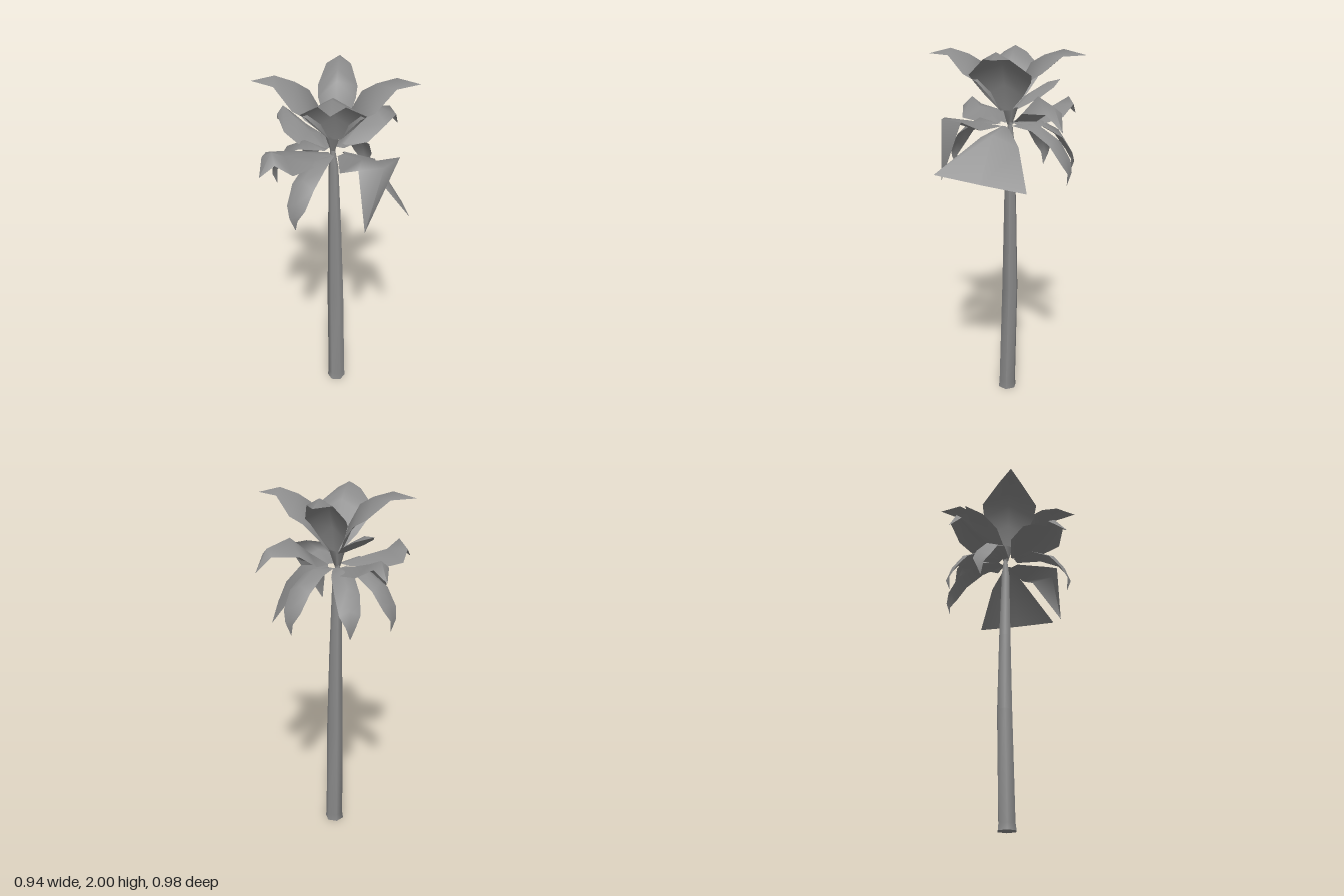
import * as THREE from 'three';

const grey = new THREE.MeshStandardMaterial({ color: 0x8c8c8c, side: THREE.DoubleSide });
grey.name = 'grey';

// Smooth open surface through equal-length rows of [x, y, z] points
function sheet(name, rows) {
  const n = rows[0].length, index = [];
  for (let i = 0; i < rows.length - 1; i++) {
    for (let j = 0; j < n - 1; j++) {
      const a = i * n + j, b = a + 1, c = a + n, d = c + 1;
      index.push(a, c, b, b, c, d);
    }
  }
  const geo = new THREE.BufferGeometry();
  geo.setAttribute('position', new THREE.Float32BufferAttribute(rows.flat(2), 3));
  geo.setIndex(index);
  geo.computeVertexNormals();
  const mesh = new THREE.Mesh(geo, grey);
  mesh.name = name;
  return mesh;
}

// Folded frond pointing towards (dx, dz); stations are [reach, height, half width, edge drop]
function frond(name, dx, dz, stations) {
  const len = Math.hypot(dx, dz), ux = dx / len, uz = dz / len;
  return sheet(name, stations.map(([r, y, w, drop]) => [-1, 0, 1].map((s) =>
    [ux * r + uz * w * s, y - drop * Math.abs(s), uz * r - ux * w * s])));
}

export function createModel() {
  const model = new THREE.Group();
  model.name = 'palmTree';

  // Trunk: six sides, flared foot, slight lean and a pointed top; rings are [y, radius, x, z]
  const rings = [[0, 0.055, 0.008, 0], [0.04, 0.05, 0.009, 0], [0.65, 0.047, 0.013, -0.015],
    [1.1, 0.037, 0.01, -0.018], [1.5, 0.026, 0.004, -0.02], [1.64, 0.008, 0, -0.025]];
  const trunkGeo = new THREE.CylinderGeometry(1, 1, rings.length - 1, 6, rings.length - 1, false, Math.PI / 4);
  const p = trunkGeo.attributes.position;
  for (let i = 0; i < p.count; i++) {
    const [y, r, x, z] = rings[Math.round(p.getY(i) + (rings.length - 1) / 2)];
    p.setXYZ(i, x + p.getX(i) * r, y, z + p.getZ(i) * r);
  }
  trunkGeo.computeVertexNormals();
  const trunk = new THREE.Mesh(trunkGeo, grey);
  trunk.name = 'trunk';
  model.add(trunk);

  // Small bud where the fronds meet
  const bud = new THREE.Mesh(new THREE.CylinderGeometry(0.045, 0.015, 0.09, 5, 1, true), grey);
  bud.name = 'crownBud';
  bud.position.set(0, 1.645, -0.02);
  model.add(bud);

  // Four tall arched fronds on the diagonals, the back left one narrower
  for (const [x, z, w] of [[1, 1, 1], [1, -1, 0.65], [-1, 1, 1], [-1, -1, 1]]) {
    model.add(frond('upperFrond', x, z, [[0.03, 1.68, 0.03 * w, 0], [0.07, 1.82, 0.1 * w, 0.06],
      [0.13, 1.93, 0.15 * w, 0.09], [0.2, 1.97, 0.16 * w, 0.09], [0.3, 2.0, 0.065, 0.035],
      [0.42, 1.97, 0, 0]]));
  }

  // Spreading fronds of the middle tier
  model.add(frond('backFrond', 0, -1, [[0.06, 1.6, 0.03, 0], [0.2, 1.64, 0.09, 0.04],
    [0.33, 1.68, 0.08, 0.06], [0.435, 1.72, 0.045, 0.04], [0.49, 1.62, 0, 0]]));
  model.add(frond('innerBackFrond', 0, -1, [[0.06, 1.68, 0.02, 0], [0.17, 1.76, 0.065, 0.025],
    [0.28, 1.81, 0.055, 0.025], [0.37, 1.82, 0, 0]]));
  model.add(frond('leftFrond', 0.47, -0.005, [[0.06, 1.62, 0.03, 0], [0.16, 1.69, 0.08, 0.06],
    [0.27, 1.78, 0.1, 0.08], [0.4, 1.74, 0.05, 0.035], [0.47, 1.62, 0, 0]]));
  model.add(sheet('rightFrond', [
    [[-0.05, 1.6, -0.03], [-0.05, 1.61, 0], [-0.05, 1.6, 0.03]],
    [[-0.18, 1.6, -0.17], [-0.18, 1.64, -0.02], [-0.18, 1.6, 0.07]],
    [[-0.3, 1.62, -0.2], [-0.31, 1.66, -0.03], [-0.34, 1.6, 0.07]],
    [[-0.4, 1.66, -0.1], [-0.39, 1.71, -0.03], [-0.41, 1.66, 0.02]],
    [[-0.475, 1.6, -0.025], [-0.475, 1.6, -0.025], [-0.475, 1.6, -0.025]],
  ]));

  // Narrow drooping fronds
  for (const [x, z] of [[0.36, -0.15], [0.125, -0.36], [-0.125, -0.36], [-0.355, 0.1]]) {
    model.add(frond('droopingFrond', x, z, [[0.05, 1.6, 0.025, 0], [0.19, 1.62, 0.06, 0.03],
      [0.3, 1.56, 0.065, 0.035], [0.365, 1.46, 0.055, 0.025], [0.39, 1.39, 0.025, 0.01],
      [0.375, 1.31, 0, 0]]));
  }

  // Front frond: flat, with its end folded straight down
  model.add(sheet('frontFrond', [
    [[-0.03, 1.6, 0.05], [0, 1.6, 0.05], [0.03, 1.6, 0.05]],
    [[-0.15, 1.6, 0.2], [-0.02, 1.64, 0.22], [0.08, 1.6, 0.22]],
    [[-0.13, 1.65, 0.31], [-0.03, 1.66, 0.385], [0.11, 1.66, 0.355]],
    [[-0.115, 1.31, 0.35], [-0.115, 1.31, 0.35], [-0.115, 1.31, 0.35]],
  ]));

  // Broad triangular frond hanging on the front left
  model.add(sheet('broadFrond', [
    [[0.02, 1.6, 0.04], [0.03, 1.6, 0.03], [0.04, 1.58, 0.01]],
    [[0.05, 1.56, 0.2], [0.12, 1.58, 0.17], [0.18, 1.51, 0.05]],
    [[0.055, 1.4, 0.49], [0.2, 1.35, 0.305], [0.335, 1.3, 0.11]],
  ]));

  return model;
}
